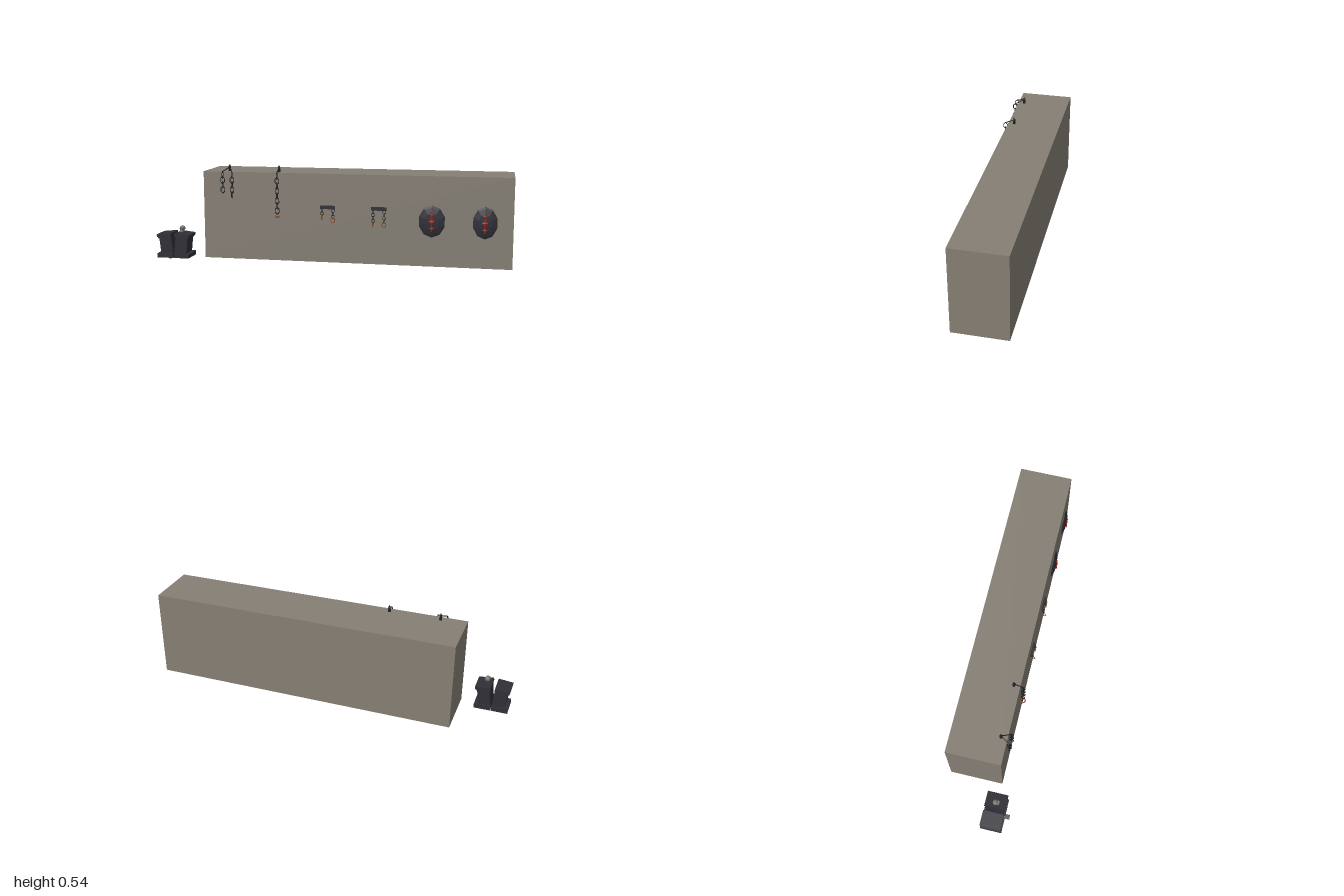
import * as THREE from 'three';

const mat = (name, color, double = false) => {
  const m = new THREE.MeshStandardMaterial({ color, flatShading: true });
  m.name = name;
  if (double) m.side = THREE.DoubleSide;
  return m;
};

export function createModel() {
  const root = new THREE.Group();
  root.name = 'dungeonWall';
  const stone = mat('wallStone', 0x857e74);
  const dark = mat('darkStone', 0x302f37);
  const iron = mat('blackIron', 0x1e1f23);
  const red = mat('redGem', 0xb3211f);
  const rust = mat('rustyMetal', 0x8a5330);
  const bone = mat('greyBone', 0x77776f);

  const add = (parent, name, geo, material, x = 0, y = 0, z = 0) => {
    const m = new THREE.Mesh(geo, material);
    m.name = name;
    m.position.set(x, y, z);
    parent.add(m);
    return m;
  };
  const group = (name, x = 0, y = 0, z = 0) => {
    const g = new THREE.Group();
    g.name = name;
    g.position.set(x, y, z);
    root.add(g);
    return g;
  };
  // Straight bar between two points
  const bar = (parent, name, a, b, r, material) => {
    const p = new THREE.Vector3(...a), q = new THREE.Vector3(...b);
    const m = add(parent, name, new THREE.CylinderGeometry(r, r, p.distanceTo(q), 5), material);
    m.position.copy(p).add(q).multiplyScalar(0.5);
    m.quaternion.setFromUnitVectors(new THREE.Vector3(0, 1, 0), q.sub(p).normalize());
  };

  // Wall block
  add(root, 'wall', new THREE.BoxGeometry(1.727, 0.497, 0.299), stone, 0.1365, 0.2485, -0.0425);

  // Hexagonal chain links, alternately turned a quarter
  const ringGeo = new THREE.TorusGeometry(1, 0.16, 4, 6).rotateZ(Math.PI / 2);
  const chain = (parent, x, top, z, count, pitch, w, h, turned = true) => {
    for (let i = 0; i < count; i++) {
      const link = add(parent, 'chainLink', ringGeo, iron, x, top - h - i * pitch, z);
      link.scale.set(w, h, w);
      link.rotation.y = (i % 2 === 0) === turned ? Math.PI / 2 : 0;
    }
  };

  // Pointed post standing on the wall top, with arms holding hanging chains
  const hanger = (x, ends) => {
    const g = group('chainHanger', x, 0, 0);
    add(g, 'post', new THREE.CylinderGeometry(0.006, 0.009, 0.028, 6), iron, 0, 0.51, 0.072);
    add(g, 'postTip', new THREE.ConeGeometry(0.009, 0.015, 6), iron, 0, 0.53, 0.072);
    for (const [dx, n] of ends) {
      bar(g, 'arm', [0, 0.522, 0.072], [dx, 0.499, 0.122], 0.0028, iron);
      chain(g, dx, 0.5, 0.123, n, 0.0277, 0.0125, 0.02);
    }
    return g;
  };
  hanger(-0.583, [[-0.027, 4], [0.027, 5]]);
  const long = hanger(-0.295, [[0, 8]]);
  const hoop = add(long, 'hoop', new THREE.TorusGeometry(0.014, 0.003, 4, 8), rust, 0, 0.253, 0.123);
  hoop.rotation.x = Math.PI / 2;

  // Wall plates with pairs of shackles
  const shackles = (x, leftCount, rightCount) => {
    const g = group('shackleSet', x, 0, 0);
    add(g, 'wallPlate', new THREE.BoxGeometry(0.083, 0.019, 0.01), dark, 0, 0.311, 0.111);
    for (const [dx, n, side] of [[-0.03, leftCount, true], [0.031, rightCount, false]]) {
      chain(g, dx, 0.306, 0.119, n, 0.0165, 0.008, 0.012, side);
      const cuff = add(g, 'cuff', ringGeo, rust, dx, 0.306 - n * 0.0165 - 0.014, 0.123);
      cuff.scale.set(0.012, 0.016, 0.014);
      cuff.rotation.y = side ? Math.PI / 2 : 0;
    }
  };
  shackles(-0.01, 2, 3);
  shackles(0.275, 4, 4);

  // Faceted domed shields with a column of red gems
  const shield = (x, rx) => {
    const g = group('shield', x, 0.25, 0.107);
    const rim = [[0.0001, 0.019], [0.55, 0.015], [0.88, 0.007], [1, 0.002], [1, -0.003]]
      .reverse().map(([r, z]) => new THREE.Vector2(r, z));
    const dome = add(g, 'shieldDome', new THREE.LatheGeometry(rim, 10).rotateX(Math.PI / 2), dark);
    dome.scale.set(rx, 0.088, 1);
    for (const dy of [-0.038, 0, 0.038]) {
      const gem = add(g, 'gem', new THREE.OctahedronGeometry(1), red, 0, dy, 0.019);
      gem.scale.set(dy ? 0.012 : 0.017, 0.013, 0.005);
      bar(g, 'gemSpike', [0, dy - 0.017, 0.019], [0, dy + 0.017, 0.019], 0.003, red);
    }
  };
  shield(0.565, 0.073);
  shield(0.85, 0.067);

  // Pedestal split in two leaning halves; each layer is a four-sided slab
  const pedestal = group('brokenPedestal', -0.903, 0, 0.105);
  const slab = (name, pts, s, depth) => {
    const p = pts.map(([x, y]) => new THREE.Vector2(x * s, y));
    const geo = new THREE.ExtrudeGeometry(new THREE.Shape(p), { depth, bevelEnabled: false });
    add(pedestal, name, geo.translate(0, 0, -depth / 2), dark);
  };
  for (const s of [-1, 1]) {
    slab('pedestalBase', [[0.002, 0], [0.094, 0], [0.094, 0.024], [0.003, 0.027]], s, 0.122);
    slab('pedestalBody', [[0.004, 0.025], [0.075, 0.023], [0.085, 0.117], [0.014, 0.124]], s, 0.096);
    slab('pedestalCornice', [[0.013, 0.116], [0.087, 0.108], [0.093, 0.12], [0.011, 0.129]], s, 0.106);
    slab('pedestalCap', [[0.011, 0.127], [0.093, 0.117], [0.097, 0.133], [0.013, 0.142]], s, 0.116);
  }
  const chip = add(pedestal, 'fallenChip', new THREE.BoxGeometry(0.024, 0.014, 0.028), dark, 0, 0.011, 0.073);
  chip.rotation.z = 0.3;

  // Skull resting above the pedestal
  const skull = group('skull', -0.863, 0.165, 0.104);
  add(skull, 'cranium', new THREE.IcosahedronGeometry(0.016, 1), bone);
  add(skull, 'jaw', new THREE.BoxGeometry(0.017, 0.012, 0.016), bone, 0, -0.013, 0.012);
  add(skull, 'brow', new THREE.BoxGeometry(0.022, 0.007, 0.012), bone, 0, 0.003, 0.016);
  for (const s of [-1, 1]) {
    add(skull, 'eyeSocket', new THREE.BoxGeometry(0.006, 0.006, 0.004), iron, s * 0.006, -0.003, 0.0185);
  }
  return root;
}
